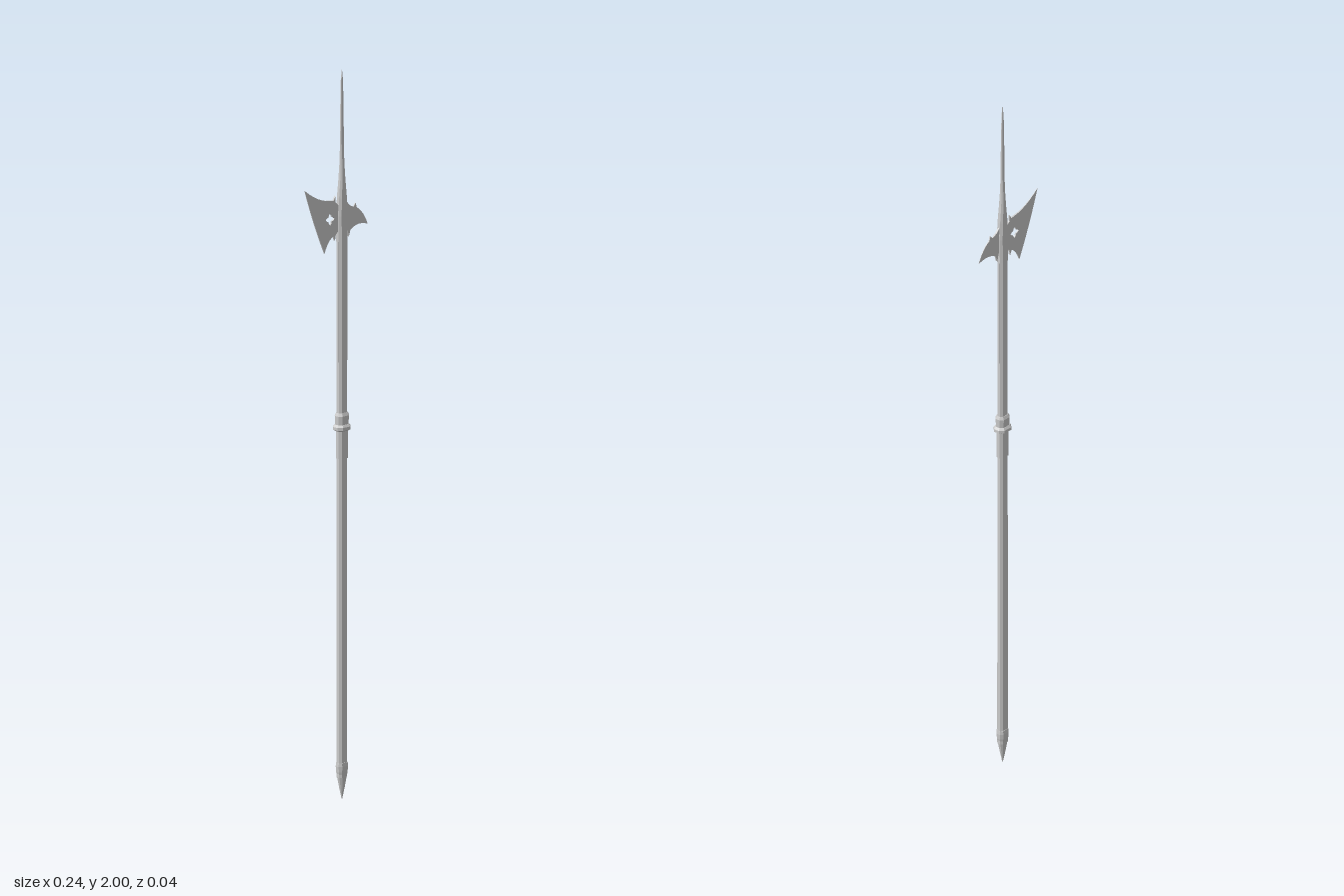
import * as THREE from 'three';

const CX = 0.02; // pole axis
const steel = new THREE.MeshStandardMaterial({ color: 0xcccccc, flatShading: true, side: THREE.DoubleSide });

// Loft of chamfered rectangles along y; each section is [y, halfX, halfZ]
function loft(name, sections) {
  const pos = [], index = [];
  for (const [y, hx, hz] of sections) {
    const c = Math.min(hx, hz) * 0.55;
    const ring = [[hx, hz - c], [hx - c, hz], [c - hx, hz], [-hx, hz - c],
      [-hx, c - hz], [c - hx, -hz], [hx - c, -hz], [hx, c - hz]];
    for (const [x, z] of ring) pos.push(CX + x, y, z);
  }
  for (let s = 0; s < sections.length - 1; s++) {
    for (let i = 0; i < 8; i++) {
      const a = s * 8 + i, b = s * 8 + (i + 1) % 8;
      index.push(a, a + 8, b, b, a + 8, b + 8);
    }
  }
  // End caps
  const top = (sections.length - 1) * 8;
  for (let i = 1; i < 7; i++) index.push(0, i, i + 1, top, top + i + 1, top + i);
  // Reverse so that sides and caps face outward
  for (let i = 0; i < index.length; i += 3) [index[i + 1], index[i + 2]] = [index[i + 2], index[i + 1]];
  const flip = sections[0][0] < sections[sections.length - 1][0];
  if (flip) for (let i = 0; i < index.length; i += 3) [index[i + 1], index[i + 2]] = [index[i + 2], index[i + 1]];
  const geo = new THREE.BufferGeometry();
  geo.setAttribute('position', new THREE.Float32BufferAttribute(pos, 3));
  geo.setIndex(index);
  geo.computeVertexNormals();
  const mesh = new THREE.Mesh(geo, steel);
  mesh.name = name;
  return mesh;
}

// Flat plate that thins out away from the pole
function plate(name, shape, reach) {
  const geo = new THREE.ExtrudeGeometry(shape, { depth: 0.006, bevelEnabled: false, curveSegments: 6 });
  geo.translate(0, 0, -0.003);
  const p = geo.attributes.position;
  for (let i = 0; i < p.count; i++) {
    const t = Math.min(1, Math.abs(p.getX(i) - CX) / reach);
    p.setZ(i, p.getZ(i) * (1 - 0.8 * t));
  }
  geo.computeVertexNormals();
  const mesh = new THREE.Mesh(geo, steel);
  mesh.name = name;
  return mesh;
}

function axeBlade() {
  const s = new THREE.Shape();
  s.moveTo(CX, 1.635);
  s.lineTo(0.004, 1.632);
  s.lineTo(-0.006, 1.640);
  s.lineTo(-0.006, 1.658);
  s.lineTo(-0.013, 1.646);
  s.lineTo(-0.026, 1.648);
  s.quadraticCurveTo(-0.070, 1.652, -0.120, 1.692);
  s.quadraticCurveTo(-0.088, 1.595, -0.046, 1.507);
  s.quadraticCurveTo(-0.036, 1.538, -0.014, 1.549);
  s.lineTo(-0.008, 1.536);
  s.lineTo(-0.005, 1.552);
  s.lineTo(0.004, 1.560);
  s.lineTo(CX, 1.560);
  // Four-lobed piercing
  const hole = new THREE.Path();
  for (let i = 0; i < 16; i++) {
    const a = i * Math.PI / 8;
    const r = 0.0125 + 0.004 * Math.cos(4 * a);
    const x = -0.026 + r * Math.cos(a), y = 1.597 + r * Math.sin(a);
    if (i === 0) hole.moveTo(x, y); else hole.lineTo(x, y);
  }
  hole.closePath();
  s.holes.push(hole);
  return plate('axeBlade', s, 0.14);
}

function backFluke() {
  const s = new THREE.Shape();
  s.moveTo(CX, 1.560);
  s.lineTo(0.038, 1.560);
  s.lineTo(0.044, 1.538);
  s.lineTo(0.050, 1.556);
  s.quadraticCurveTo(0.078, 1.574, 0.116, 1.560);
  s.quadraticCurveTo(0.100, 1.598, 0.074, 1.613);
  s.lineTo(0.070, 1.626);
  s.lineTo(0.062, 1.616);
  s.lineTo(0.046, 1.624);
  s.lineTo(0.036, 1.636);
  s.lineTo(CX, 1.636);
  return plate('backFluke', s, 0.098);
}

export function createModel() {
  const g = new THREE.Group();
  g.name = 'halberd';

  // Pole and its fittings
  g.add(loft('shaft', [[0.06, 0.0155, 0.0100], [1.60, 0.0150, 0.0095]]));
  g.add(loft('footFerrule', [[0, 0.001, 0.001], [0.03, 0.0075, 0.006], [0.075, 0.0165, 0.0115],
    [0.09, 0.0175, 0.0125], [0.1, 0.0165, 0.0112]]));
  g.add(loft('gripSleeve', [[0.935, 0.0175, 0.0118], [1.02, 0.0175, 0.0118]]));
  g.add(loft('collarRing', [[1.01, 0.0175, 0.0125], [1.014, 0.0245, 0.0190], [1.022, 0.0245, 0.0190],
    [1.028, 0.0195, 0.0145]]));
  g.add(loft('collarCup', [[1.025, 0.0185, 0.0135], [1.052, 0.0200, 0.0150], [1.060, 0.0165, 0.0110]]));

  // Langets: straps running down both narrow sides of the pole
  for (const side of [-1, 1]) {
    const strap = new THREE.Mesh(new THREE.BoxGeometry(0.002, 0.34, 0.007), steel);
    strap.name = side < 0 ? 'rightLanget' : 'leftLanget';
    strap.position.set(CX + side * 0.0158, 1.37, 0);
    g.add(strap);
  }

  // Head: socket flowing into the long top spike
  g.add(loft('socket', [[1.53, 0.0165, 0.0108], [1.60, 0.0170, 0.0105], [1.65, 0.0145, 0.0095],
    [1.70, 0.0095, 0.0080], [1.74, 0.0070, 0.0060], [1.78, 0.0060, 0.0040]]));
  g.add(loft('topSpike', [[1.76, 0.0062, 0.0045], [1.80, 0.0060, 0.0035], [1.90, 0.0050, 0.0028],
    [1.97, 0.0035, 0.0018], [2.0, 0.0005, 0.0005]]));
  g.add(axeBlade(), backFluke());
  return g;
}
